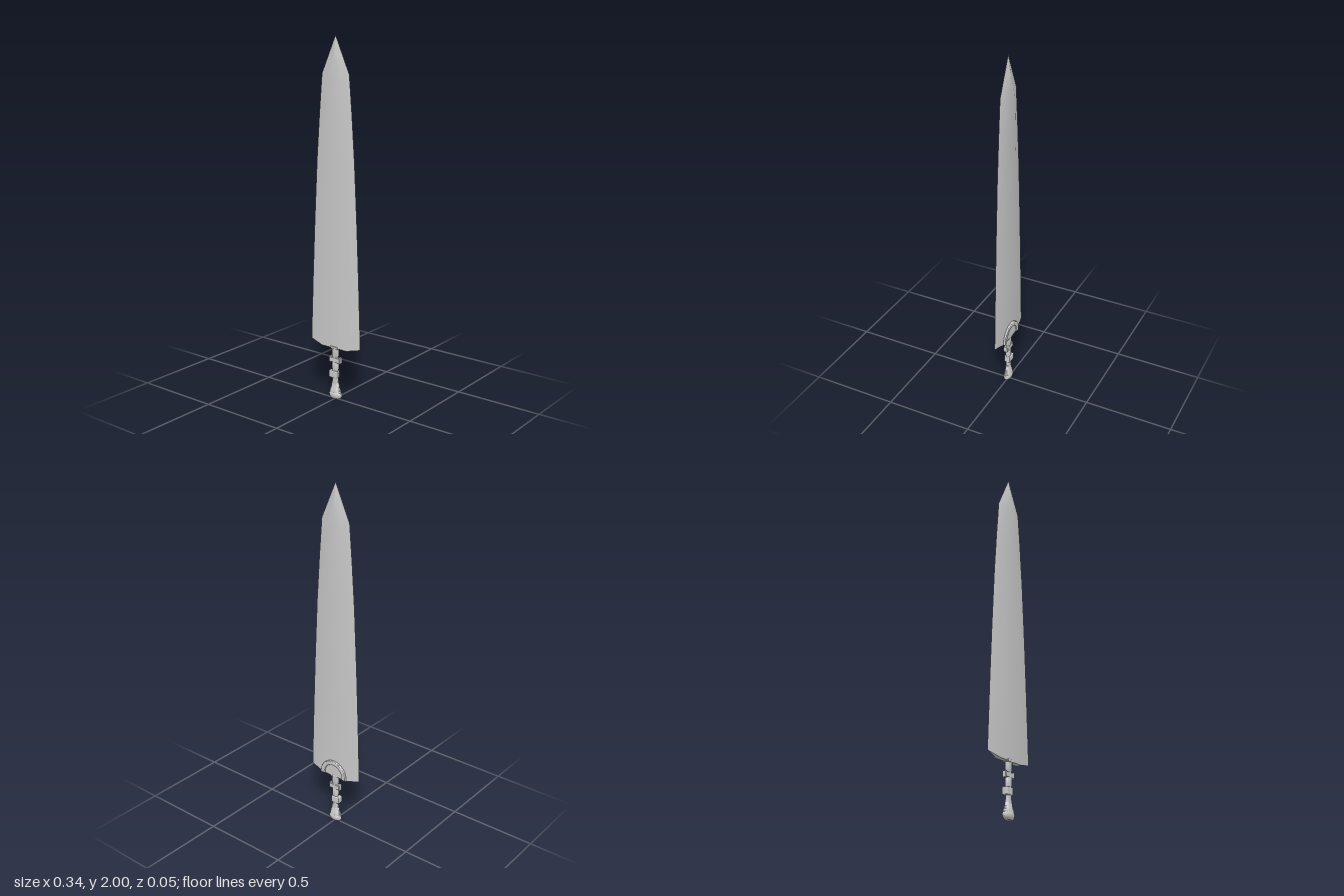
import * as THREE from 'three';
import { toCreasedNormals } from 'three/addons/utils/BufferGeometryUtils.js';
import { RoundedBoxGeometry } from 'three/addons/geometries/RoundedBoxGeometry.js';

const material = new THREE.MeshStandardMaterial({ color: 0xcccccc });

function addMesh(group, name, geometry, x = 0, y = 0, z = 0) {
  const mesh = new THREE.Mesh(geometry, material);
  mesh.name = name;
  mesh.position.set(x, y, z);
  group.add(mesh);
  return mesh;
}

// Six-sided sections: thin cutting edges either side of a flat centre
function bladeGeometry() {
  // [edge height, edge half width, flat height, flat half width, half thickness]
  const rows = [
    [0.32, 0.17, 0.30, 0.085, 0.014],
    [0.70, 0.156, 0.70, 0.078, 0.014],
    [1.00, 0.143, 1.00, 0.071, 0.014],
    [1.35, 0.125, 1.35, 0.062, 0.014],
    [1.60, 0.107, 1.60, 0.054, 0.014],
    [1.80, 0.09, 1.77, 0.046, 0.014],
    [1.90, 0.045, 1.91, 0, 0.013],
    [2.00, 0, 2.00, 0, 0],
  ];
  const positions = [];
  const index = [];
  for (const [ey, w, fy, f, t] of rows) {
    positions.push(w, ey, 0, f, fy, -t, -f, fy, -t, -w, ey, 0, -f, fy, t, f, fy, t);
  }
  for (let r = 0; r < rows.length - 1; r++) {
    for (let i = 0; i < 6; i++) {
      const a = r * 6 + i;
      const b = r * 6 + (i + 1) % 6;
      index.push(a, b, b + 6, a, b + 6, a + 6);
    }
  }
  // Underside
  index.push(0, 5, 1, 1, 5, 4, 1, 4, 2, 2, 4, 3);
  const geometry = new THREE.BufferGeometry();
  geometry.setAttribute('position', new THREE.Float32BufferAttribute(positions, 3));
  geometry.setIndex(index);
  return toCreasedNormals(geometry, 0.35);
}

// Arch outline standing on straight legs
function archPath(path, radius) {
  path.moveTo(radius, -0.01);
  path.lineTo(radius, 0);
  path.absarc(0, 0, radius, 0, Math.PI, false);
  path.lineTo(-radius, -0.01);
  return path;
}

function archGeometry(outer, inner, depth, bevel) {
  const shape = archPath(new THREE.Shape(), outer);
  if (inner) {
    shape.lineTo(-inner, -0.01);
    shape.lineTo(-inner, 0);
    shape.absarc(0, 0, inner, Math.PI, 0, true);
    shape.lineTo(inner, -0.01);
  }
  shape.closePath();
  const geometry = new THREE.ExtrudeGeometry(shape, {
    depth, curveSegments: 24, bevelEnabled: bevel > 0,
    bevelThickness: bevel, bevelSize: bevel, bevelOffset: -bevel, bevelSegments: 3,
  });
  return toCreasedNormals(geometry, 0.6);
}

// Turned profile flattened front to back
function turned(profile, flatten) {
  const points = profile.map(([r, y]) => new THREE.Vector2(r, y));
  const geometry = new THREE.LatheGeometry(points, 24);
  geometry.scale(1, 1, flatten);
  return toCreasedNormals(geometry, 0.6);
}

export function createModel() {
  const model = new THREE.Group();
  model.name = 'greatsword';

  addMesh(model, 'blade', bladeGeometry());

  // Raised arch on the back of the blade root
  const root = new THREE.Group();
  root.name = 'bladeRoot';
  model.add(root);
  addMesh(root, 'archRim', archGeometry(0.088, 0.062, 0.007, 0.004), 0, 0.312, -0.021);
  addMesh(root, 'archPanel', archGeometry(0.064, 0, 0.006, 0), 0, 0.312, -0.017);

  const handle = new THREE.Group();
  handle.name = 'handle';
  model.add(handle);
  addMesh(handle, 'grip', turned([
    [0, 0.08], [0.019, 0.08], [0.019, 0.17], [0.021, 0.18], [0.021, 0.21],
    [0.019, 0.215], [0.019, 0.25], [0.022, 0.255], [0.022, 0.305], [0, 0.305],
  ], 0.72));
  addMesh(handle, 'collar', new RoundedBoxGeometry(0.05, 0.014, 0.036, 2, 0.004), 0, 0.302);

  // Upper cross lugs and the finger rest on one side
  addMesh(handle, 'upperLugs', new RoundedBoxGeometry(0.07, 0.028, 0.028, 2, 0.004), 0, 0.229);
  for (const side of [-1, 1]) {
    addMesh(handle, 'lugCap', new RoundedBoxGeometry(0.014, 0.036, 0.022, 2, 0.004), side * 0.031, 0.229);
  }
  addMesh(handle, 'fingerRest', new RoundedBoxGeometry(0.052, 0.042, 0.036, 2, 0.005), -0.008, 0.145);

  // Flared pommel with stepped rings
  addMesh(handle, 'pommel', turned([
    [0, 0], [0.024, 0], [0.034, 0.006], [0.041, 0.016], [0.042, 0.028],
    [0.039, 0.036], [0.036, 0.038], [0.036, 0.05], [0.032, 0.054], [0.031, 0.064],
    [0.027, 0.068], [0.026, 0.084], [0.023, 0.088], [0.023, 0.1], [0, 0.102],
  ], 0.54));

  return model;
}
